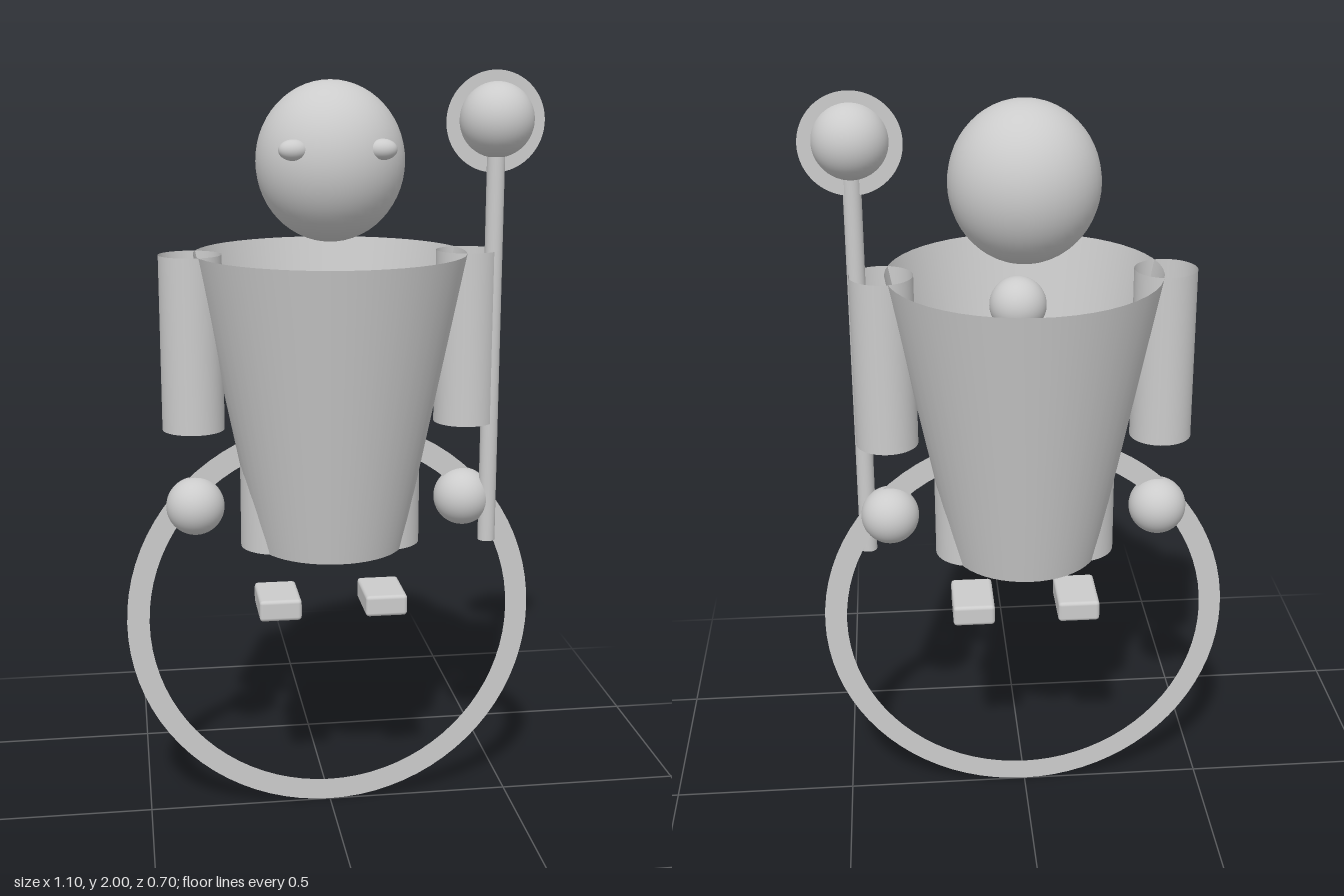
import * as THREE from 'three';
import { RoundedBoxGeometry } from 'three/addons/geometries/RoundedBoxGeometry.js';

const solid = new THREE.MeshStandardMaterial({ color: 0xcccccc });
const thin = new THREE.MeshStandardMaterial({ color: 0xcccccc, side: THREE.DoubleSide });

export function createModel() {
  const model = new THREE.Group();
  model.name = 'figure';

  const add = (name, geometry, material, x, y, z) => {
    const mesh = new THREE.Mesh(geometry, material);
    mesh.name = name;
    mesh.position.set(x, y, z);
    model.add(mesh);
    return mesh;
  };
  const ball = (name, x, y, z, rx, ry = rx, rz = rx) =>
    add(name, new THREE.SphereGeometry(1, 40, 28).scale(rx, ry, rz), solid, x, y, z);
  // Open-ended tube standing between two heights
  const tube = (name, x, z, bottom, top, rBottom, rTop = rBottom) =>
    add(name, new THREE.CylinderGeometry(rTop, rBottom, top - bottom, 48, 1, true),
      thin, x, (bottom + top) / 2, z);
  const flatRing = (name, x, y, z, inner, outer) =>
    add(name, new THREE.RingGeometry(inner, outer, 80), thin, x, y, z);

  // Head and body
  ball('head', 0, 1.775, 0, 0.19, 0.202, 0.183);
  tube('robe', 0, 0, 0.765, 1.545, 0.195, 0.352);
  ball('chestOrb', 0, 1.39, 0.205, 0.077);

  // Paired parts
  for (const [side, s] of [['left', 1], ['right', -1]]) {
    ball(side + 'Eye', s * 0.11, 1.812, 0.142, 0.037, 0.026, 0.028);
    tube(side + 'Sleeve', s * 0.36, 0, 1.09, 1.545, 0.081);
    ball(side + 'Hand', s * 0.36, 0.88, 0, 0.077);
    tube(side + 'Leg', s * 0.145, 0, 0.765, 1.15, 0.095);
    add(side + 'Shoe', new RoundedBoxGeometry(0.113, 0.058, 0.165, 2, 0.01), solid,
      s * 0.143, 0.602, 0);
  }

  // Large upright hoop around the feet
  flatRing('hoop', 0, 0.555, 0, 0.49, 0.55);

  // Staff with a ball and a flat halo on top
  tube('staff', 0.422, 0.033, 0.765, 1.85, 0.023);
  ball('staffBall', 0.422, 1.877, 0.033, 0.095);
  flatRing('staffHalo', 0.422, 1.872, 0.02, 0.08, 0.128);

  return model;
}
